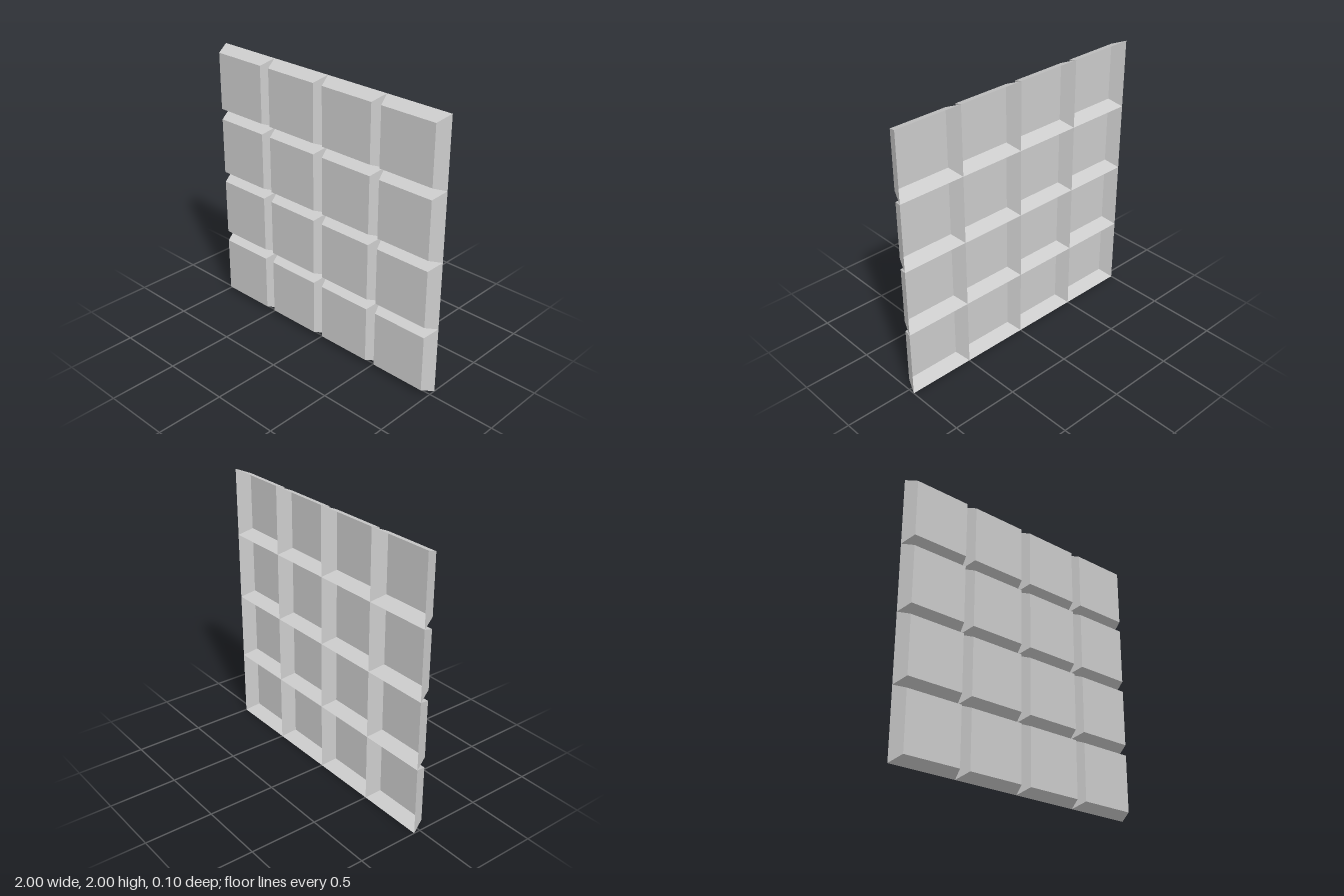
import * as THREE from 'three';

const COUNT = 4;      // panels per side
const SIZE = 0.5;     // panel width and height at the back rim
const DEPTH = 0.1;
const BEVEL = 0.04;   // inset of the front face

// Hollow tapered panel: a box with a narrowed front and no back face
function panelGeometry() {
  const geo = new THREE.BoxGeometry(SIZE, SIZE, DEPTH);
  const pos = geo.attributes.position;
  const taper = (SIZE - 2 * BEVEL) / SIZE;
  for (let i = 0; i < pos.count; i++) {
    if (pos.getZ(i) > 0) pos.setXY(i, pos.getX(i) * taper, pos.getY(i) * taper);
  }
  // the back (-z) face holds the last six indices
  geo.setIndex(Array.from(geo.index.array).slice(0, -6));
  geo.clearGroups();
  geo.computeVertexNormals();
  return geo;
}

export function createModel() {
  const model = new THREE.Group();
  model.name = 'panelledWall';
  const material = new THREE.MeshStandardMaterial({
    color: 0xcccccc, flatShading: true, side: THREE.DoubleSide,
  });
  const geometry = panelGeometry();

  // Grid of panels touching at their back rims
  for (let row = 0; row < COUNT; row++) {
    for (let col = 0; col < COUNT; col++) {
      const panel = new THREE.Mesh(geometry, material);
      panel.name = `panelRow${row + 1}Column${col + 1}`;
      panel.position.set((col - (COUNT - 1) / 2) * SIZE, (row + 0.5) * SIZE, 0);
      model.add(panel);
    }
  }
  return model;
}
